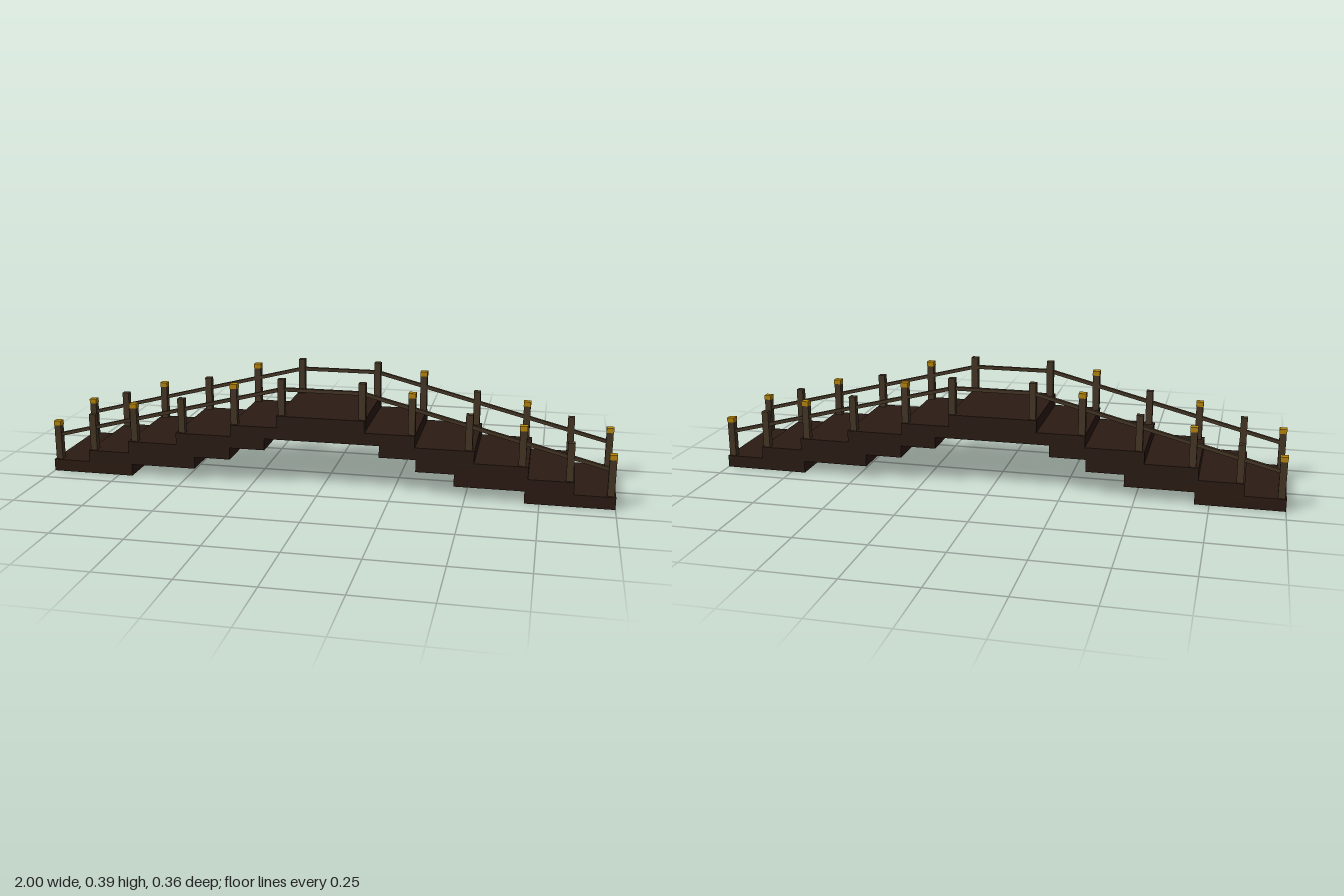
import * as THREE from 'three';

const wood = new THREE.MeshStandardMaterial({ color: 0x2b1b13 });
const postWood = new THREE.MeshStandardMaterial({ color: 0x453625 });
const gold = new THREE.MeshStandardMaterial({ color: 0xb8860b });

// Box given by its centre in x and z and its bottom and top in y
function box(name, material, x, z, y0, y1, width, depth) {
  const mesh = new THREE.Mesh(new THREE.BoxGeometry(width, y1 - y0, depth), material);
  mesh.position.set(x, (y0 + y1) / 2, z);
  mesh.name = name;
  return mesh;
}

export function createModel() {
  const bridge = new THREE.Group();
  bridge.name = 'steppedBridge';
  const rise = 0.043;

  // Overlapping deck slabs on both slopes: [outer x, inner x], lowest first
  const steps = [[1, 0.7], [0.863, 0.462], [0.71, 0.33], [0.528, 0.203]];
  for (const side of [-1, 1]) {
    steps.forEach(([outer, inner], i) => {
      const y = 0.003 + i * rise;
      bridge.add(box('deckStep', wood, side * (outer + inner) / 2, 0, y, y + rise, outer - inner, 0.352));
    });
  }

  // Two long slabs at the crown
  bridge.add(box('crownLower', wood, 0, 0, 0.174, 0.217, 0.652, 0.355));
  bridge.add(box('crownUpper', wood, -0.003, 0, 0.217, 0.26, 0.31, 0.358));

  // Railing posts: [x, bottom, top, has a gold cap]
  const posts = [
    [0.983, 0.046, 0.19, true],
    [0.846, 0.046, 0.222, false],
    [0.688, 0.089, 0.271, true],
    [0.508, 0.13, 0.299, false],
    [0.313, 0.174, 0.363, true],
    [0.142, 0.217, 0.388, false],
  ];
  // Handrail path
  const railPath = [[-0.983, 0.136], [-0.142, 0.351], [0.142, 0.351], [0.983, 0.136]];

  for (const z of [-0.159, 0.156]) {
    const railing = new THREE.Group();
    railing.name = z > 0 ? 'frontRailing' : 'backRailing';
    for (const side of [-1, 1]) {
      for (const [x, bottom, top, capped] of posts) {
        const shaftTop = capped ? top - 0.017 : top;
        railing.add(box('post', postWood, side * x, z, bottom, shaftTop, 0.024, 0.024));
        if (capped) railing.add(box('postCap', gold, side * x, z, shaftTop, top, 0.026, 0.026));
      }
    }
    // Straight rail bars between path points
    for (let i = 0; i < 3; i++) {
      const [x0, y0] = railPath[i], [x1, y1] = railPath[i + 1];
      const length = Math.hypot(x1 - x0, y1 - y0);
      const rail = box('handrail', postWood, (x0 + x1) / 2, z, 0, 0.012, length, 0.014);
      rail.position.y = (y0 + y1) / 2;
      rail.rotation.z = Math.atan2(y1 - y0, x1 - x0);
      railing.add(rail);
    }
    bridge.add(railing);
  }
  return bridge;
}
